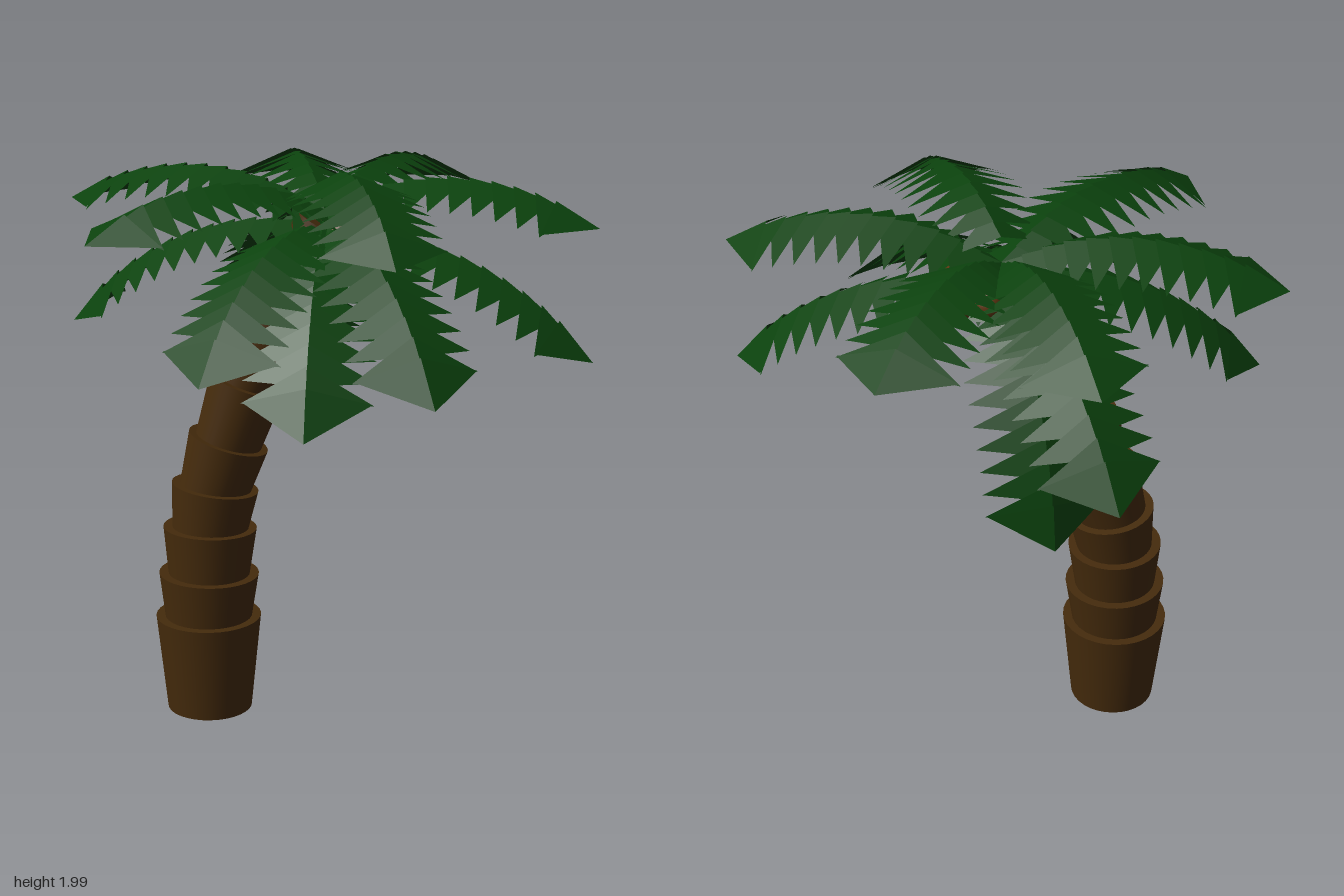
import * as THREE from 'three';

const V = (x, y, z) => new THREE.Vector3(x, y, z);
const bark = new THREE.MeshStandardMaterial({ color: 0x452b0c });
const husk = new THREE.MeshStandardMaterial({ color: 0x5c3510 });
const leaf = new THREE.MeshStandardMaterial({ color: 0x0b420d, flatShading: true, side: THREE.DoubleSide });

// Leaning trunk: tapered cups, each standing in the one below.
function makeTrunk() {
  const trunk = new THREE.Group();
  trunk.name = 'trunk';
  // x, y, z and radius of each rim
  const rims = [
    [-0.4, 0, 0.12, 0.152], [-0.4, 0.35, 0.118, 0.188], [-0.397, 0.51, 0.115, 0.178],
    [-0.393, 0.68, 0.108, 0.166], [-0.375, 0.83, 0.098, 0.154], [-0.327, 1.0, 0.085, 0.143],
    [-0.26, 1.21, 0.066, 0.135], [-0.175, 1.4, 0.052, 0.123], [-0.09, 1.6, 0.026, 0.115], [0, 1.77, 0, 0.105],
  ];
  for (let i = 1; i < rims.length; i++) {
    const [x, y, z, r] = rims[i];
    const top = V(x, y, z);
    const bottom = V(...rims[i - 1]);
    const axis = top.clone().sub(bottom);
    if (i > 1) bottom.addScaledVector(axis, -0.12); // sink into the cup below
    const mesh = new THREE.Mesh(
      new THREE.CylinderGeometry(r, i === 1 ? rims[0][3] : r * 0.86, top.distanceTo(bottom), 32), bark);
    mesh.position.copy(top).add(bottom).multiplyScalar(0.5);
    mesh.quaternion.setFromUnitVectors(V(0, 1, 0), axis.normalize());
    mesh.name = 'trunkSegment' + i;
    trunk.add(mesh);
  }
  return trunk;
}

// One arched frond along +x: overlapping drooping chevrons and a broad pointed end.
function frondGeometry() {
  const spine = new THREE.CatmullRomCurve3([
    V(0.0, 0.02, 0), V(0.2, 0.115, 0), V(0.42, 0.155, 0), V(0.62, 0.14, 0), V(0.8, 0.09, 0), V(0.94, 0.01, 0),
  ]);
  const positions = [];
  // a chevron folded along the spine from a to b, with one wing on each side
  const chevron = (a, b, wing) => {
    const mirrored = V(wing.x, wing.y, -wing.z);
    for (const p of [a, wing, b, a, b, mirrored]) positions.push(p.x, p.y, p.z);
  };
  const count = 11;
  const end = 0.83;
  const step = end / count;
  for (let i = 0; i < count; i++) {
    const u = i * step;
    const a = spine.getPointAt(u);
    const b = spine.getPointAt(u + step * 1.8).add(V(0, -0.012, 0));
    const width = 0.15 + 0.06 * Math.min(1, i / 4);
    chevron(a, b, spine.getPointAt(u + step * 0.9).add(V(0, -0.085, width)));
  }
  const a = spine.getPointAt(end);
  chevron(a, spine.getPointAt(1), a.clone().add(V(-0.005, -0.075, 0.205)));
  const geometry = new THREE.BufferGeometry();
  geometry.setAttribute('position', new THREE.Float32BufferAttribute(positions, 3));
  geometry.computeVertexNormals();
  return geometry;
}

function makeFronds() {
  const crown = new THREE.Group();
  crown.name = 'fronds';
  const geometry = frondGeometry();
  // heading from +x towards +z, downward pitch (degrees), lift, length scale
  const fronds = [
    [0, 0, 0, 1], [-77, 0, 0, 0.96], [-120, 0, 0, 0.97], [180, 0, 0, 1], [123, 0, 0, 1.01], [57, 8, 0.09, 0.92],
    [0, 21, -0.09, 1.06], [51, 23, -0.04, 1.1], [76, 33.5, -0.03, 1.04], [97, 22, -0.04, 1.02],
    [167, 22, -0.04, 1], [-124, 22, -0.04, 1.06], [-119, 52, -0.03, 0.98],
  ];
  for (const [heading, pitch, lift, size] of fronds) {
    const mesh = new THREE.Mesh(geometry, leaf);
    mesh.name = pitch > 10 ? 'lowerFrond' : 'upperFrond';
    mesh.position.set(0, 1.8 + lift, 0);
    mesh.rotation.set(0, THREE.MathUtils.degToRad(-heading), THREE.MathUtils.degToRad(-pitch));
    mesh.scale.set(size, 1, 1);
    crown.add(mesh);
  }
  return crown;
}

// Cluster of coconuts hanging under the crown.
function makeCoconuts() {
  const cluster = new THREE.Group();
  cluster.name = 'coconuts';
  const spots = [[0.08, 1.75, 0.055], [0.14, 1.76, -0.04], [0.13, 1.7, -0.125], [0.02, 1.73, -0.12], [0.1, 1.68, -0.05]];
  for (const spot of spots) {
    const nut = new THREE.Mesh(new THREE.SphereGeometry(0.055, 20, 14), husk);
    nut.position.set(...spot);
    nut.name = 'coconut';
    cluster.add(nut);
  }
  return cluster;
}

export function createModel() {
  const model = new THREE.Group();
  model.name = 'palmTree';
  model.add(makeTrunk(), makeFronds(), makeCoconuts());
  return model;
}
